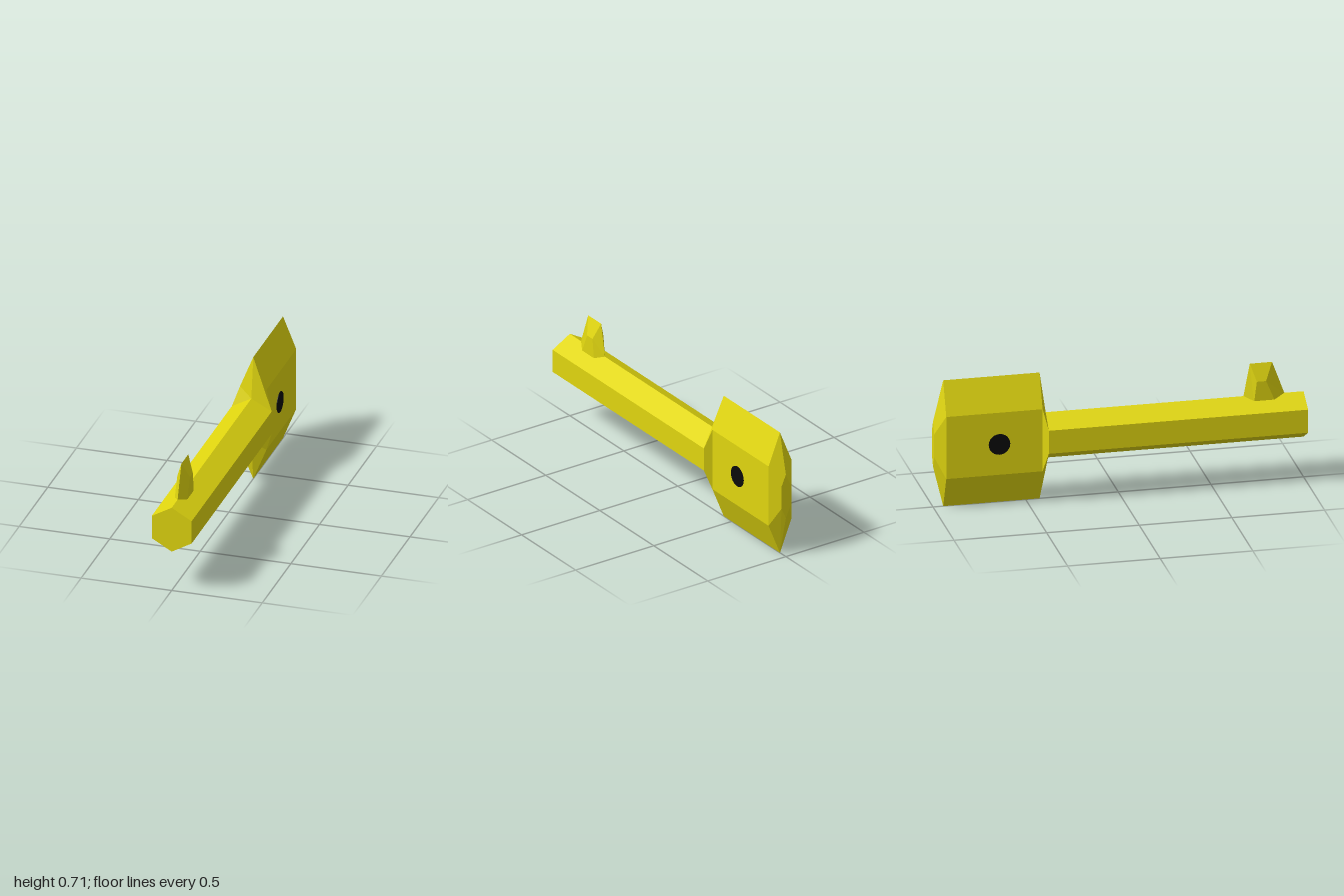
import * as THREE from 'three';

// Skin a run of six-point rings, with both ends capped.
// The first ring runs counter-clockwise when seen from outside its end.
function loft(rings) {
  const pos = [];
  const tri = (...pts) => pts.forEach((p) => pos.push(...p));
  for (let r = 0; r < rings.length - 1; r++) {
    const a = rings[r], b = rings[r + 1];
    for (let i = 0; i < 6; i++) {
      const j = (i + 1) % 6;
      tri(a[i], b[i], b[j]);
      tri(a[i], b[j], a[j]);
    }
  }
  const first = rings[0], last = rings[rings.length - 1];
  for (let i = 1; i < 5; i++) {
    tri(first[0], first[i], first[i + 1]);
    tri(last[0], last[i + 1], last[i]);
  }
  const geo = new THREE.BufferGeometry();
  geo.setAttribute('position', new THREE.Float32BufferAttribute(pos, 3));
  geo.computeVertexNormals();
  return geo;
}

// Upright hexagon: half width w, shoulder height s and tip height t from the axis
const AXIS = 0.356;
function section(w, s, t, z, zTip = z) {
  return [[0, t, zTip], [-w, s, z], [-w, -s, z], [0, -t, zTip], [w, -s, z], [w, s, z]]
    .map(([x, y, d]) => [x, y + AXIS, d]);
}

// Level hexagon for the peg: end points and side points at their own heights
function pegRing(zBack, zSideBack, zSideFront, zFront, yEnd, ySide) {
  const w = 0.035;
  return [[0, yEnd, zBack], [-w, ySide, zSideBack], [-w, ySide, zSideFront],
    [0, yEnd, zFront], [w, ySide, zSideFront], [w, ySide, zSideBack]];
}

export function createModel() {
  const group = new THREE.Group();
  const yellow = new THREE.MeshStandardMaterial({ color: 0xe0d60f });
  yellow.name = 'yellow';
  yellow.flatShading = true;
  const black = new THREE.MeshStandardMaterial({ color: 0x0a0a0a });
  black.name = 'black';

  const add = (name, geo, mat) => {
    const mesh = new THREE.Mesh(geo, mat);
    mesh.name = name;
    group.add(mesh);
    return mesh;
  };

  // Shaft flowing into the tall flat head
  add('shaftAndHead', loft([
    section(0.11, 0.065, 0.128, 1),
    section(0.11, 0.065, 0.128, -0.4, -0.392),
    section(0.073, 0.175, 0.355, -0.425),
    section(0.073, 0.175, 0.355, -0.945),
    section(0.028, 0.065, 0.128, -1),
  ]), yellow);

  // Ridged peg on top of the shaft
  add('peg', loft([
    pegRing(0.71, 0.74, 0.79, 0.83, 0.664, 0.572),
    pegRing(0.675, 0.725, 0.84, 0.897, 0.482, 0.453),
  ]), yellow);

  // Round black spot on each side of the head
  for (const side of [1, -1]) {
    const spot = add(side > 0 ? 'leftSpot' : 'rightSpot',
      new THREE.CylinderGeometry(0.058, 0.058, 0.006, 24), black);
    spot.rotation.z = Math.PI / 2;
    spot.position.set(side * 0.073, AXIS - 0.003, -0.658);
  }
  return group;
}
